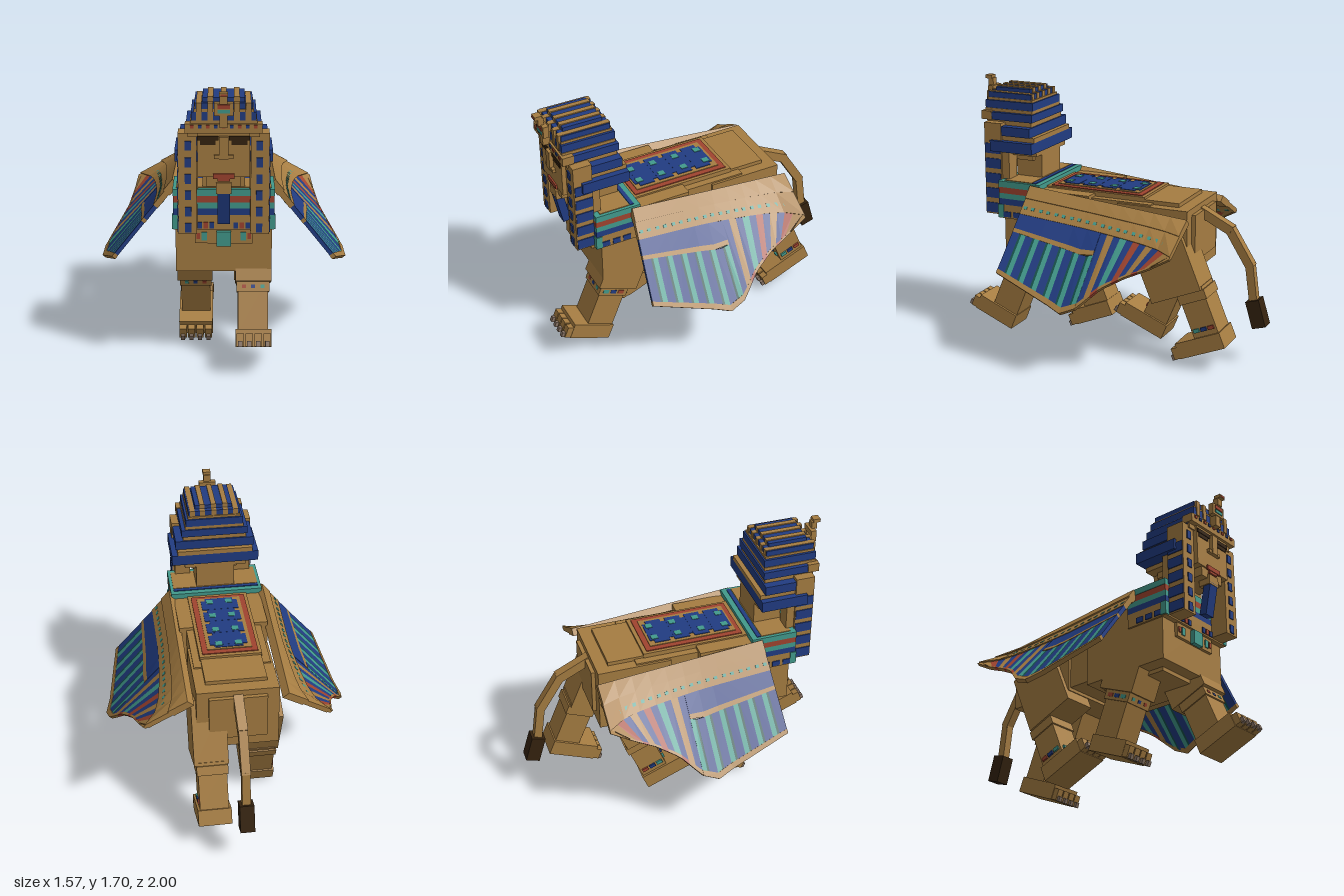
import * as THREE from 'three';
import { ConvexGeometry } from 'three/addons/geometries/ConvexGeometry.js';

const paint = (name, color) => {
  const m = new THREE.MeshStandardMaterial({ color });
  m.name = name;
  return m;
};
const gold = paint('sandy gold', 0xa67d42), blue = paint('deep blue', 0x213c82), teal = paint('teal', 0x429a8c);
const darkTeal = paint('dark teal', 0x14514b), red = paint('brick red', 0xa0442f);
const brown = paint('dark brown', 0x35230f), claw = paint('claw grey', 0x8a7566);

function group(parent, name) {
  const g = new THREE.Group();
  g.name = name;
  parent.add(g);
  return g;
}
// Box given by its extents
function box(parent, name, mat, x0, x1, y0, y1, z0, z1) {
  const m = new THREE.Mesh(new THREE.BoxGeometry(Math.abs(x1 - x0), y1 - y0, z1 - z0), mat);
  m.position.set((x0 + x1) / 2, (y0 + y1) / 2, (z0 + z1) / 2);
  m.name = name;
  parent.add(m);
  return m;
}
// Box centred on x = 0
const wide = (p, n, m, w, y0, y1, z0, z1) => box(p, n, m, -w, w, y0, y1, z0, z1);

function buildBody(root) {
  const b = group(root, 'body');
  wide(b, 'chest', gold, 0.285, 0.57, 1.05, 0.1, 0.7);
  wide(b, 'waist', gold, 0.24, 0.62, 1.03, -0.3, 0.15);
  wide(b, 'rump', gold, 0.255, 0.6, 1.02, -0.55, -0.08);
  wide(b, 'rumpPlate', gold, 0.19, 1.0, 1.045, -0.47, -0.2);
  wide(b, 'rumpBack', gold, 0.18, 0.68, 0.98, -0.575, -0.5);
  wide(b, 'bellyPlate', gold, 0.19, 0.545, 0.6, 0.16, 0.62);

  // Back blanket
  const s = group(root, 'blanket');
  wide(s, 'blanketBase', gold, 0.195, 1.02, 1.06, -0.24, 0.44);
  wide(s, 'blanketBorder', red, 0.175, 1.055, 1.066, -0.215, 0.415);
  wide(s, 'blanketField', gold, 0.14, 1.06, 1.071, -0.18, 0.385);
  for (let i = 0; i < 4; i++) {
    const z = -0.09 + i * 0.13;
    wide(s, 'blanketTile', blue, 0.118, 1.065, 1.075, z - 0.05, z + 0.05);
    wide(s, 'blanketTileJoin', blue, 0.09, 1.065, 1.074, z - 0.075, z + 0.075);
  }
  for (const x of [-0.062, 0.062]) for (let i = 0; i < 4; i++) {
    const z = -0.13 + i * 0.155;
    box(s, 'blanketSquare', teal, x - 0.021, x + 0.021, 1.07, 1.078, z - 0.021, z + 0.021);
  }
}

// Leg hangs from the hip and swings about x
function buildLeg(root, name, side, hipZ, swing, p) {
  const g = group(root, name);
  g.position.set(0, 0.8, hipZ);
  g.rotation.x = swing * Math.PI / 8;
  const part = (n, m, x0, x1, y0, y1, z0, z1) => box(g, n, m, side * x0, side * x1, y0, y1, z0, z1);
  part('thigh', gold, 0.07, 0.285, -0.36, 0.06, p.thigh[0], p.thigh[1]);
  part('shin', gold, 0.085, 0.265, -0.66, -0.34, p.shin[0], p.shin[1]);
  part('cuff', gold, 0.077, 0.273, -0.42, -0.36, p.shin[0] - 0.01, p.shin[1] + 0.01);
  part('paw', gold, 0.07, 0.28, -0.748, -0.645, p.paw[0], p.paw[1] - 0.06);
  for (let i = 0; i < 4; i++) {
    const x = 0.074 + i * 0.053;
    part('toe', gold, x, x + 0.045, -0.745, -0.67, p.paw[1] - 0.06, p.paw[1] - 0.02);
    part('claw', claw, x + 0.01, x + 0.035, -0.748, -0.715, p.paw[1] - 0.025, p.paw[1]);
  }
  // Coloured studs round the ankle
  const len = p.shin[1] - p.shin[0];
  [red, blue, teal].forEach((m, i) => {
    const z = p.shin[0] + len * (0.2 + 0.3 * i);
    part('stud', m, 0.262, 0.2755, p.stud - 0.012, p.stud + 0.012, z - 0.02, z + 0.02);
    const x = 0.12 + 0.055 * i;
    part('stud', m, x - 0.012, x + 0.012, p.stud - 0.01, p.stud + 0.01, p.shin[1], p.shin[1] + 0.013);
  });
}

function buildTail(root) {
  const g = group(root, 'tail');
  const pts = [[-0.55, 0.96], [-0.74, 0.865], [-0.875, 0.65], [-0.905, 0.43], [-0.955, 0.26]];
  for (let i = 0; i < 4; i++) {
    const [z0, y0] = pts[i], [z1, y1] = pts[i + 1], tuft = i === 3;
    const len = Math.hypot(z1 - z0, y1 - y0), w = tuft ? 0.09 : 0.06 - i * 0.004;
    const m = new THREE.Mesh(new THREE.BoxGeometry(w, len + (tuft ? 0 : 0.025), w), tuft ? brown : gold);
    m.position.set(0, (y0 + y1) / 2, (z0 + z1) / 2);
    m.rotation.x = Math.atan2(z1 - z0, y1 - y0);
    m.name = tuft ? 'tailTuft' : 'tailSegment';
    g.add(m);
  }
}

// Outer wing rim: z, x, y
const rim = [[-0.57, 0.577, 0.81], [-0.45, 0.597, 0.74], [-0.31, 0.625, 0.675], [-0.18, 0.68, 0.6],
  [-0.07, 0.755, 0.49], [0, 0.785, 0.43], [0.12, 0.745, 0.47], [0.5, 0.67, 0.6]];

// s = 0 at the root, 1 below the arm, 2 at the rim
function wingPoint(z, s) {
  let i = 0;
  while (i < rim.length - 2 && z > rim[i + 1][0]) i++;
  const a = rim[i], b = rim[i + 1], t = (z - a[0]) / (b[0] - a[0]);
  const ox = a[1] + (b[1] - a[1]) * t, oy = a[2] + (b[2] - a[2]) * t, iy = 1.02 + 0.09 * z;
  const arm = Math.min(0.95, 0.15 / (iy - oy)), v = s < 1 ? s * arm : arm + (s - 1) * (1 - arm);
  return new THREE.Vector3(0.29 + (ox - 0.29) * v, iy + (oy - iy) * v, z + 0.045 * v * (z + 0.57));
}

function buildWing(root, side) {
  const g = group(root, side > 0 ? 'leftWing' : 'rightWing');
  // Thin slab between four (z, s) corners
  const slab = (name, mat, corners, t) => {
    const pts = [];
    for (const [z, s] of corners) for (const k of [-t, t]) {
      const p = wingPoint(z, s).add(new THREE.Vector3(0.77 * k, 0.63 * k, 0));
      p.x *= side;
      pts.push(p);
    }
    const m = new THREE.Mesh(new ConvexGeometry(pts), mat);
    m.name = name;
    g.add(m);
  };
  const strip = (name, mat, z0, z1, s0, s1, t) => slab(name, mat, [[z0, s0], [z1, s0], [z1, s1], [z0, s1]], t);

  // Arm with a row of teal dots
  for (let i = 0; i < 10; i++) {
    const z = -0.57 + i * 0.107, e = z + 0.107;
    strip('wingArm', gold, z, e, 0, 0.45, 0.026);
    strip('wingBand', gold, z, e, 0.45, 1, 0.018);
    for (const d of [0.02, 0.07]) strip('wingDot', teal, z + d, z + d + 0.022, 0.72, 0.82, 0.021);
  }
  // Front feathers
  const n = 6, w = 0.56 / n;
  for (let i = 0; i < n; i++) {
    const z = -0.06 + i * w, e = z + w;
    strip('wingCovert', blue, z, e, 1, 1.24, 0.014);
    strip('featherTrim', gold, z, e, 1.24, 1.3, 0.014);
    strip('tealFeather', teal, z, z + w * 0.32, 1.3, 1.93, 0.012);
    strip('featherShade', darkTeal, z + w * 0.32, z + w * 0.47, 1.3, 1.93, 0.012);
    strip('blueFeather', blue, z + w * 0.47, e, 1.3, 1.93, 0.012);
    strip('wingRim', gold, z, e, 1.93, 2, 0.014);
  }
  // Fan of rear feathers
  const fan = [blue, gold, blue, teal, blue, red, blue, gold, blue, red, gold];
  const top = i => -0.06 - 0.5 * i / fan.length, low = i => -0.06 - 0.4 * i / fan.length;
  fan.forEach((m, i) => {
    slab('fanFeather', m, [[top(i), 1], [top(i + 1), 1], [low(i + 1), 1.93], [low(i), 1.93]], 0.011);
    strip('wingRim', i % 3 === 2 ? red : gold, low(i + 1), low(i), 1.93, 2, 0.012);
  });
  slab('fanEnd', gold, [[-0.56, 1], [-0.57, 1], [-0.57, 2], [-0.46, 2]], 0.011);
}

function buildCollar(root) {
  const g = group(root, 'collar');
  [[teal, 1.045, 1.085], [red, 1.005, 1.045], [teal, 0.97, 1.005], [blue, 0.93, 0.97], [gold, 0.84, 0.93]]
    .forEach(([m, y0, y1], i) => wide(g, 'collarBand', m, i ? 0.297 : 0.3, y0, y1, 0.44, 0.735));
  wide(g, 'collarTopStripe', blue, 0.28, 1.083, 1.09, 0.475, 0.5);
  wide(g, 'collarTopEdge', gold, 0.28, 1.083, 1.09, 0.505, 0.7);
  wide(g, 'collarFringe', gold, 0.17, 0.75, 0.84, 0.68, 0.72);
  wide(g, 'pendant', teal, 0.042, 0.74, 0.83, 0.72, 0.75);
  for (const s of [-1, 1]) {
    [blue, red, blue].forEach((m, i) => {
      const x = s * (0.07 + i * 0.035);
      box(g, 'collarBead', m, x - 0.013, x + 0.013, 0.85, 0.885, 0.732, 0.742);
    });
    box(g, 'fringeBead', teal, s * 0.1, s * 0.13, 0.77, 0.82, 0.715, 0.727);
    box(g, 'fringeBead', red, s * 0.14, s * 0.16, 0.78, 0.815, 0.715, 0.727);
    for (let i = 0; i < 3; i++)
      box(g, 'collarSideBead', blue, s * 0.295, s * 0.303, 0.85, 0.885, 0.51 + i * 0.07, 0.56 + i * 0.07);
    box(g, 'collarCorner', teal, s * 0.27, s * 0.303, 0.845, 0.93, 0.7, 0.74);
  }
}

function buildHead(root) {
  const g = group(root, 'head');
  wide(g, 'neck', gold, 0.125, 1.05, 1.27, 0.51, 0.69);
  wide(g, 'skull', gold, 0.15, 1.2, 1.5, 0.56, 0.875);
  wide(g, 'chin', gold, 0.1, 1.14, 1.2, 0.62, 0.865);
  wide(g, 'nose', gold, 0.026, 1.31, 1.44, 0.87, 0.9);
  wide(g, 'nostrils', gold, 0.055, 1.31, 1.332, 0.87, 0.895);
  wide(g, 'mouth', red, 0.062, 1.19, 1.22, 0.872, 0.885);
  wide(g, 'lowerLip', red, 0.035, 1.175, 1.19, 0.865, 0.88);
  wide(g, 'beardRoot', gold, 0.045, 1.1, 1.165, 0.8, 0.88);
  const beard = wide(g, 'beard', blue, 0.036, 0.91, 1.12, 0.81, 0.86);
  beard.rotation.x = 0.2;
  for (const s of [-1, 1]) {
    box(g, 'eyebrow', brown, s * 0.03, s * 0.15, 1.415, 1.44, 0.872, 0.884);
    box(g, 'eye', brown, s * 0.045, s * 0.135, 1.39, 1.415, 0.872, 0.88);
    // Hanging cloth beside the face
    box(g, 'lappet', gold, s * 0.155, s * 0.262, 0.85, 1.45, 0.73, 0.85);
    box(g, 'lappetBack', gold, s * 0.15, s * 0.25, 1.09, 1.27, 0.68, 0.74);
    for (let i = 0; i < 6; i++) {
      const y = 0.86 + i * 0.098;
      box(g, 'lappetSpot', blue, s * 0.187, s * 0.223, y, y + 0.055, 0.845, 0.857);
      if (i < 5) box(g, 'lappetStripe', blue, s * 0.257, s * 0.268, y, y + 0.065, 0.735, 0.845);
    }
  }

  // Striped headdress: material, y range, half width, z range
  const h = group(g, 'headdress');
  [[blue, 1.27, 1.34, 0.283, 0.5, 0.8], [gold, 1.24, 1.27, 0.2, 0.51, 0.7], [gold, 1.34, 1.37, 0.245, 0.5, 0.82],
    [blue, 1.37, 1.43, 0.255, 0.53, 0.82], [gold, 1.43, 1.46, 0.205, 0.54, 0.86], [blue, 1.46, 1.51, 0.215, 0.53, 0.86],
    [gold, 1.51, 1.53, 0.19, 0.54, 0.88], [blue, 1.53, 1.58, 0.185, 0.54, 0.88], [gold, 1.58, 1.595, 0.17, 0.55, 0.875],
    [blue, 1.595, 1.63, 0.165, 0.56, 0.87], [blue, 1.63, 1.655, 0.12, 0.59, 0.84]]
    .forEach(([m, ...d]) => wide(h, 'headdressLayer', m, d[2], d[0], d[1], d[3], d[4]));
  wide(h, 'browBand', gold, 0.22, 1.46, 1.515, 0.82, 0.892);
  for (let i = -4; i <= 4; i++)
    box(h, 'browBead', i % 2 ? blue : red, i * 0.045 - 0.01, i * 0.045 + 0.01, 1.49, 1.508, 0.89, 0.898);
  // Gold stripes running over the crown
  for (const x of [-0.14, -0.075, 0, 0.075, 0.14]) {
    const inner = Math.abs(x) < 0.1;
    box(h, 'crownStripe', gold, x - 0.016, x + 0.016, 1.53, 1.633, 0.555, 0.885);
    if (inner) box(h, 'crownStripeTop', gold, x - 0.016, x + 0.016, 1.63, 1.662, 0.585, 0.845);
  }

  // Rearing snake on the brow
  const c = group(g, 'browSnake');
  wide(c, 'snakeBody', gold, 0.022, 1.5, 1.61, 0.885, 0.93);
  wide(c, 'snakeHood', gold, 0.055, 1.57, 1.645, 0.9, 0.935);
  wide(c, 'snakeHoodRed', red, 0.035, 1.612, 1.635, 0.93, 0.941);
  wide(c, 'snakeHoodTeal', teal, 0.035, 1.585, 1.605, 0.93, 0.941);
  wide(c, 'snakeNeck', gold, 0.022, 1.64, 1.69, 0.915, 0.95);
  wide(c, 'snakeHead', gold, 0.025, 1.685, 1.708, 0.925, 0.97);
  wide(c, 'snakeMouth', red, 0.018, 1.69, 1.7, 0.967, 0.974);
}

export function createModel() {
  const root = new THREE.Group();
  root.name = 'wingedSphinx';
  buildBody(root);
  const front = { thigh: [-0.145, 0.125], shin: [-0.085, 0.095], paw: [-0.088, 0.255], stud: -0.39 };
  const rear = { thigh: [-0.19, 0.16], shin: [-0.195, -0.025], paw: [-0.205, 0.17], stud: -0.6 };
  buildLeg(root, 'frontLeftLeg', 1, 0.475, -1, front);
  buildLeg(root, 'frontRightLeg', -1, 0.475, 1, front);
  buildLeg(root, 'backLeftLeg', 1, -0.343, 1, rear);
  buildLeg(root, 'backRightLeg', -1, -0.343, -1, rear);
  buildTail(root);
  for (const side of [1, -1]) buildWing(root, side);
  buildCollar(root);
  buildHead(root);
  return root;
}
